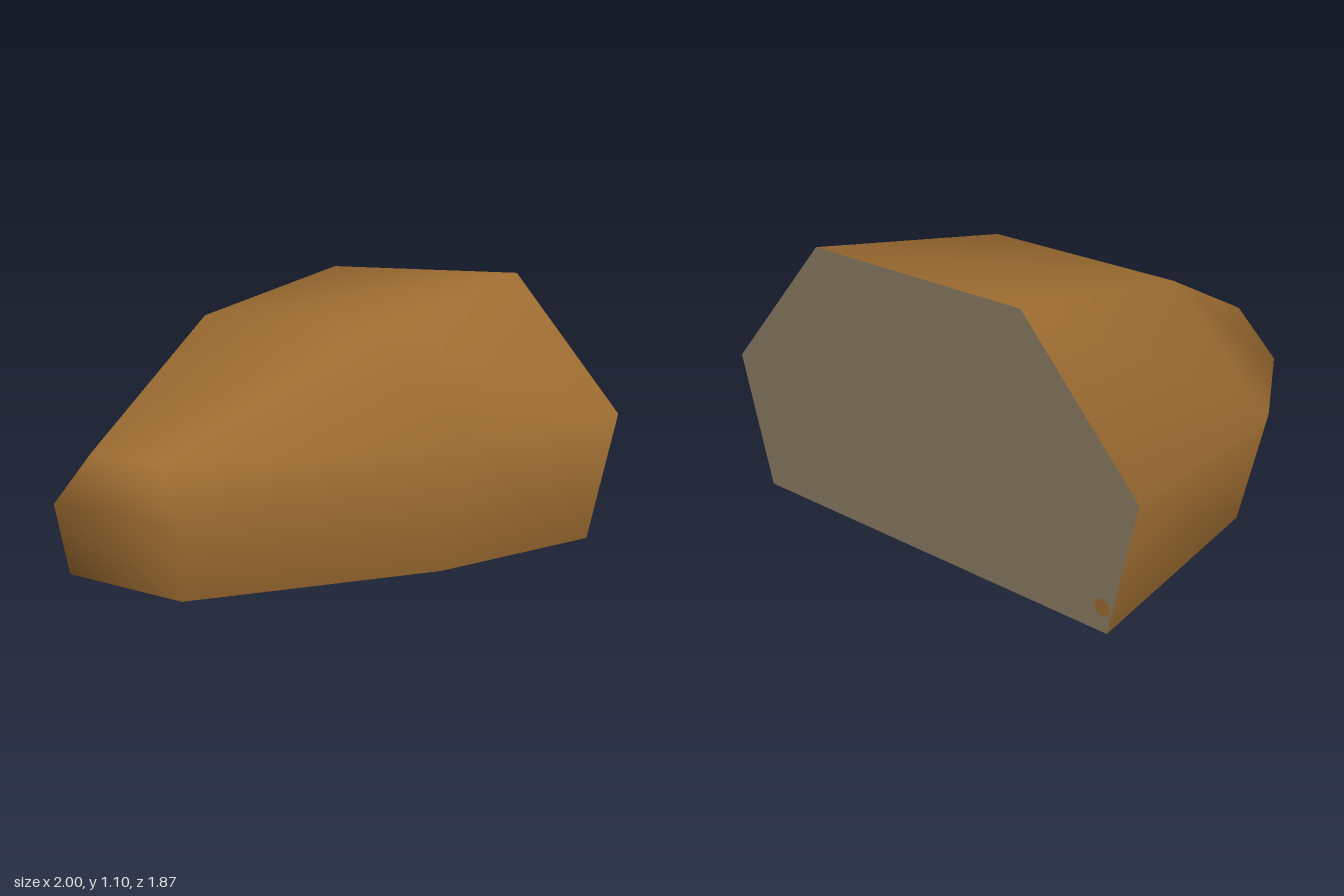
import * as THREE from 'three';

const brown = new THREE.MeshStandardMaterial({ color: 0x9c6c31 });
brown.name = 'brown';
const greyTan = new THREE.MeshStandardMaterial({ color: 0x8b7b63 });
greyTan.name = 'greyTan';

// Cross-sections from nose to back: [half width, y, z] for bottom, middle and top corners
const sections = [
  [[0.30, 0.00, 0.90], [0.345, 0.27, 0.935], [0.17, 0.48, 0.90]],
  [[0.78, 0.02, 0.00], [0.90, 0.50, 0.00], [0.45, 0.925, 0.00]],
  [[0.87, 0.00, -0.93], [1.00, 0.54, -0.93], [0.50, 1.10, -0.93]],
];

// Full outline of a section, from one bottom corner over the top to the other
const outline = (half) => [
  ...half,
  ...[...half].reverse().map(([x, y, z]) => [-x, y, z]),
];

function makeGeometry(points, index) {
  const geometry = new THREE.BufferGeometry();
  geometry.setAttribute('position', new THREE.Float32BufferAttribute(points.flat(), 3));
  geometry.setIndex(index);
  geometry.computeVertexNormals();
  return geometry;
}

function addMesh(group, name, geometry, material) {
  const mesh = new THREE.Mesh(geometry, material);
  mesh.name = name;
  group.add(mesh);
  return mesh;
}

export function createModel() {
  const group = new THREE.Group();
  group.name = 'hull';
  const rings = sections.map(outline);
  const n = rings[0].length;

  // Smooth shell: rounded nose cap, then walls between the sections
  const shell = [0, 1, 4, 0, 4, 5, 1, 2, 3, 1, 3, 4];
  for (let r = 0; r < rings.length - 1; r++) {
    for (let i = 0; i < n - 1; i++) {
      const a = r * n + i;
      const b = a + n;
      shell.push(a, b, a + 1, b, b + 1, a + 1);
    }
  }
  addMesh(group, 'shell', makeGeometry(rings.flat(), shell), brown);

  // Underside with its own normals, so its edge stays sharp
  const floor = rings.flatMap((ring) => [ring[0], ring[n - 1]]);
  const floorIndex = [];
  for (let r = 0; r < rings.length - 1; r++) {
    const a = r * 2;
    floorIndex.push(a, a + 1, a + 2, a + 1, a + 3, a + 2);
  }
  addMesh(group, 'underside', makeGeometry(floor, floorIndex), brown);

  // Flat back face
  const backShape = new THREE.Shape(rings[2].map(([x, y]) => new THREE.Vector2(x, y)));
  const back = addMesh(group, 'backFace', new THREE.ShapeGeometry(backShape), greyTan);
  back.rotation.y = Math.PI;
  back.position.z = -0.93;

  // Small spot near the lower corner of the back face
  const spot = addMesh(group, 'backSpot', new THREE.CircleGeometry(0.033, 16), brown);
  spot.rotation.y = Math.PI;
  spot.position.set(-0.85, 0.1, -0.933);

  return group;
}
